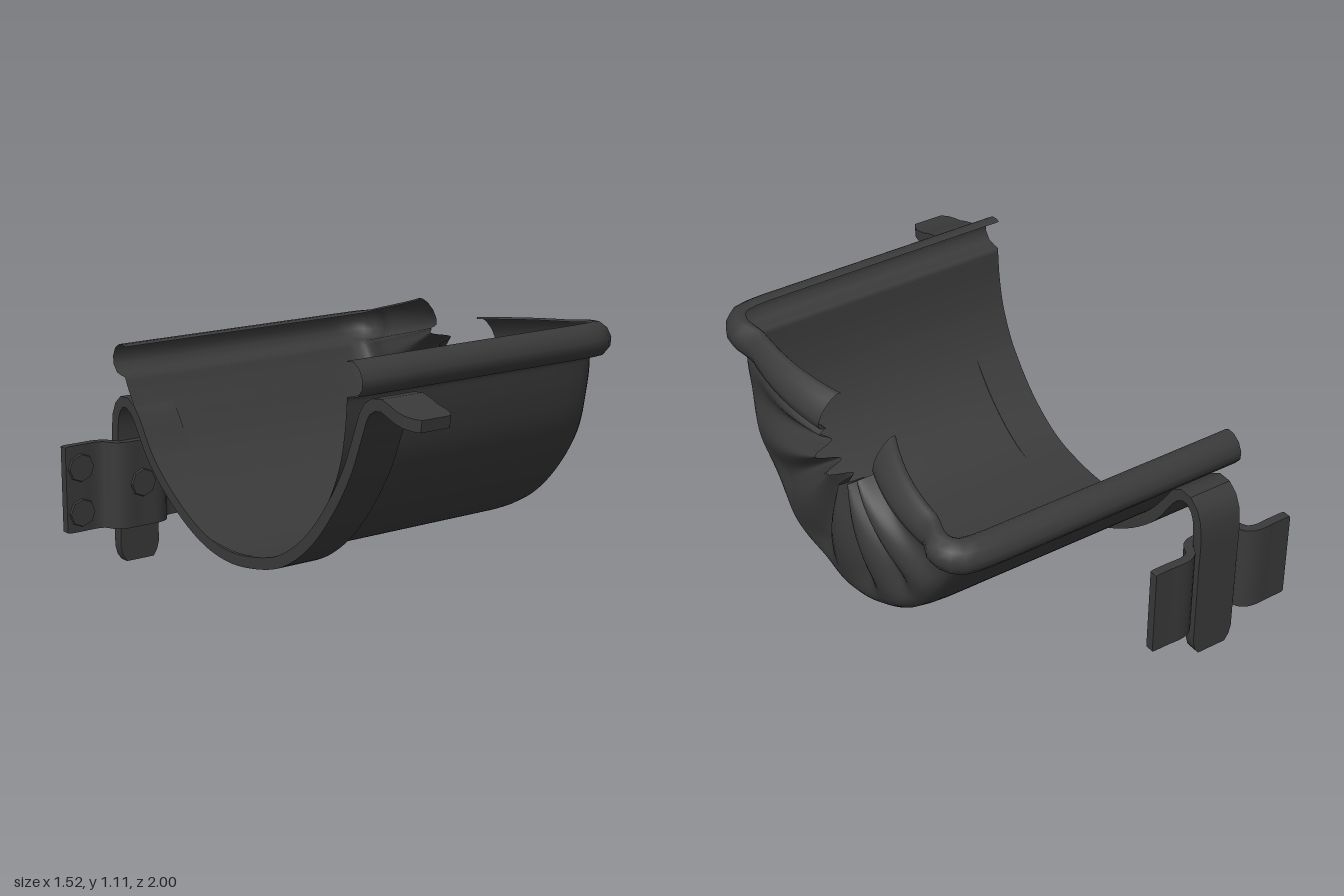
import * as THREE from 'three';
import { toCreasedNormals } from 'three/addons/utils/BufferGeometryUtils.js';

const material = new THREE.MeshStandardMaterial({ color: 0x3a3a3a, side: THREE.DoubleSide });

// Skin a list of cross-sections (arrays of Vector3)
function loft(rows, closed) {
  const n = rows[0].length, pos = [], idx = [];
  rows.forEach(r => r.forEach(p => pos.push(p.x, p.y, p.z)));
  for (let i = 0; i < rows.length - 1; i++) {
    for (let j = 0; j < (closed ? n : n - 1); j++) {
      const a = i * n + j, b = i * n + (j + 1) % n, c = a + n, d = b + n;
      idx.push(a, b, c, b, d, c);
    }
  }
  const g = new THREE.BufferGeometry();
  g.setAttribute('position', new THREE.Float32BufferAttribute(pos, 3));
  g.setIndex(idx);
  g.computeVertexNormals();
  return g;
}

const spline = pts => new THREE.CatmullRomCurve3(pts.map(([a, b]) => new THREE.Vector3(a, b, 0)), false, 'centripetal');

// Flat bar bent along a 2D path; place(a, b, w) puts path and width into space
function bentBar(pts, thick, half, steps, tipWidth, place) {
  const curve = spline(pts), rows = [];
  const stations = [0, 0.008, 0.02];
  for (let i = 1; i < steps; i++) stations.push(0.02 + 0.96 * i / steps);
  stations.push(0.98, 0.992, 1);
  const add = (u, w, t) => {
    const p = curve.getPointAt(u), d = curve.getTangentAt(u);
    rows.push([[1, 1], [1, -1], [-1, -1], [-1, 1]].map(([s, k]) =>
      place(p.x - d.y * s * t / 2, p.y + d.x * s * t / 2, k * w)));
  };
  add(0, 0, 0);
  stations.forEach(u => {
    const tip = Math.min(1, Math.min(u, 1 - u) / 0.02);
    add(u, half * (tipWidth + (1 - tipWidth) * Math.sqrt(tip)), thick);
  });
  add(1, 0, 0);
  return toCreasedNormals(loft(rows, true), 0.6);
}

// Gutter trough: half-round wall whose rims swell outward, crushed shut at one end
function gutterGeometry() {
  const wall = spline([[0.62, 0.98], [0.606, 0.85], [0.574, 0.715], [0.494, 0.555], [0.362, 0.405],
    [0.2, 0.298], [0.02, 0.254], [-0.14, 0.246], [-0.305, 0.274], [-0.503, 0.377], [-0.665, 0.518],
    [-0.775, 0.668], [-0.832, 0.755], [-0.855, 0.8]]);
  const notch = spline([[0, 0.91], [-0.03, 0.85], [-0.1, 0.815], [-0.2, 0.81], [-0.27, 0.85], [-0.37, 0.935]]);
  // hollow rim bulge as [outward, up] offsets from the top of the wall, lip first
  const rim = [[-0.005, 0.125], [0.01, 0.133], [0.04, 0.13], [0.07, 0.11], [0.088, 0.075], [0.085, 0.04],
    [0.06, 0.01], [0.025, 0.002]];
  const samples = 98;

  const section = (x, f) => {
    const turn = Math.min(1, f / 0.12) * Math.PI / 2;
    const side = Math.min(1, f / 0.25);
    const at = t => {
      const p = wall.getPointAt(t).lerp(notch.getPointAt(t), f);
      const edge = Math.pow(Math.abs(2 * t - 1), 8);
      // uneven radial pleats in the crushed end
      const phase = t * Math.PI * 12 + 0.9 * Math.sin(6 * t + 1);
      const pleat = (0.5 - 0.5 * Math.sin(phase)) * (0.025 + 0.065 * f) * side;
      const bulge = 0.08 * Math.sin(0.7 * Math.PI * f);
      const px = x + bulge - pleat * (1 - 0.7 * edge) - edge * (0.035 * side + 0.04 * f);
      const sway = 0.02 * Math.cos(phase) * Math.sin(Math.PI * f) * (1 - edge);
      return new THREE.Vector3(px, p.y, p.x + sway);
    };
    // the bulge flattens and its lip leans inward along the crushed end
    const roll = (base, sign, list) => list.map(([o, u]) => {
      const out = o * (1 - 0.4 * side) - 0.07 * side * f * u / 0.13;
      return new THREE.Vector3(base.x + out * Math.sin(turn), base.y + u, base.z + sign * out * Math.cos(turn));
    });
    const mid = [];
    for (let i = 0; i <= samples; i++) mid.push(at(i / samples));
    return [...roll(mid[0], 1, rim), ...mid, ...roll(mid[samples], -1, [...rim].reverse())];
  };

  const rows = [-0.535, -0.25, 0.05, 0.3, 0.45, 0.54].map(x => section(x, 0));
  rows.push(section(0.6, 0.006), section(0.645, 0.02), section(0.665, 0.05), section(0.675, 0.085));
  for (let i = 0; i <= 18; i++) rows.push(section(0.68, 0.12 + 0.88 * i / 18));
  return loft(rows, false);
}

export function createModel() {
  const model = new THREE.Group();
  const add = (name, geometry) => {
    const mesh = new THREE.Mesh(geometry, material);
    mesh.name = name;
    model.add(mesh);
    return mesh;
  };

  add('gutter', gutterGeometry());

  // Cradle strap under the trough, hooked over at the back
  const strap = [[0.998, 0.94], [0.9, 0.955], [0.8, 0.985], [0.73, 0.955], [0.685, 0.86], [0.62, 0.71], [0.51, 0.54],
    [0.37, 0.385], [0.2, 0.275], [0.02, 0.228], [-0.14, 0.217], [-0.31, 0.25], [-0.51, 0.355], [-0.68, 0.5],
    [-0.78, 0.645], [-0.83, 0.69], [-0.88, 0.695], [-0.925, 0.655], [-0.943, 0.57], [-0.943, 0.4], [-0.943, 0.2],
    [-0.943, 0.004]];
  add('bracketStrap', bentBar(strap, 0.046, 0.0925, 70, 0.7, (z, y, w) => new THREE.Vector3(-0.4425 + w, y, z)));

  // Wall plate with a raised middle that holds the strap
  const plate = [[-0.76, -0.981], [-0.69, -0.981], [-0.61, -0.981], [-0.575, -0.965], [-0.55, -0.92], [-0.52, -0.905],
    [-0.44, -0.905], [-0.36, -0.905], [-0.33, -0.92], [-0.305, -0.965], [-0.27, -0.981], [-0.19, -0.981],
    [-0.12, -0.981]];
  add('wallPlate', bentBar(plate, 0.036, 0.183, 50, 0.98, (x, z, w) => new THREE.Vector3(x, 0.338 + w, z)));

  // Low octagonal heads: bolts on the plate wings and a rivet in the middle
  const head = (name, x, y, z) => {
    const mesh = add(name, toCreasedNormals(new THREE.CylinderGeometry(0.057, 0.061, 0.012, 8), 0.5));
    mesh.rotation.x = Math.PI / 2;
    mesh.position.set(x, y, z);
  };
  for (const x of [-0.69, -0.195]) {
    for (const y of [0.235, 0.425]) head('bolt', x, y, -0.96);
  }
  head('rivet', -0.4425, 0.34, -0.882);

  return model;
}
